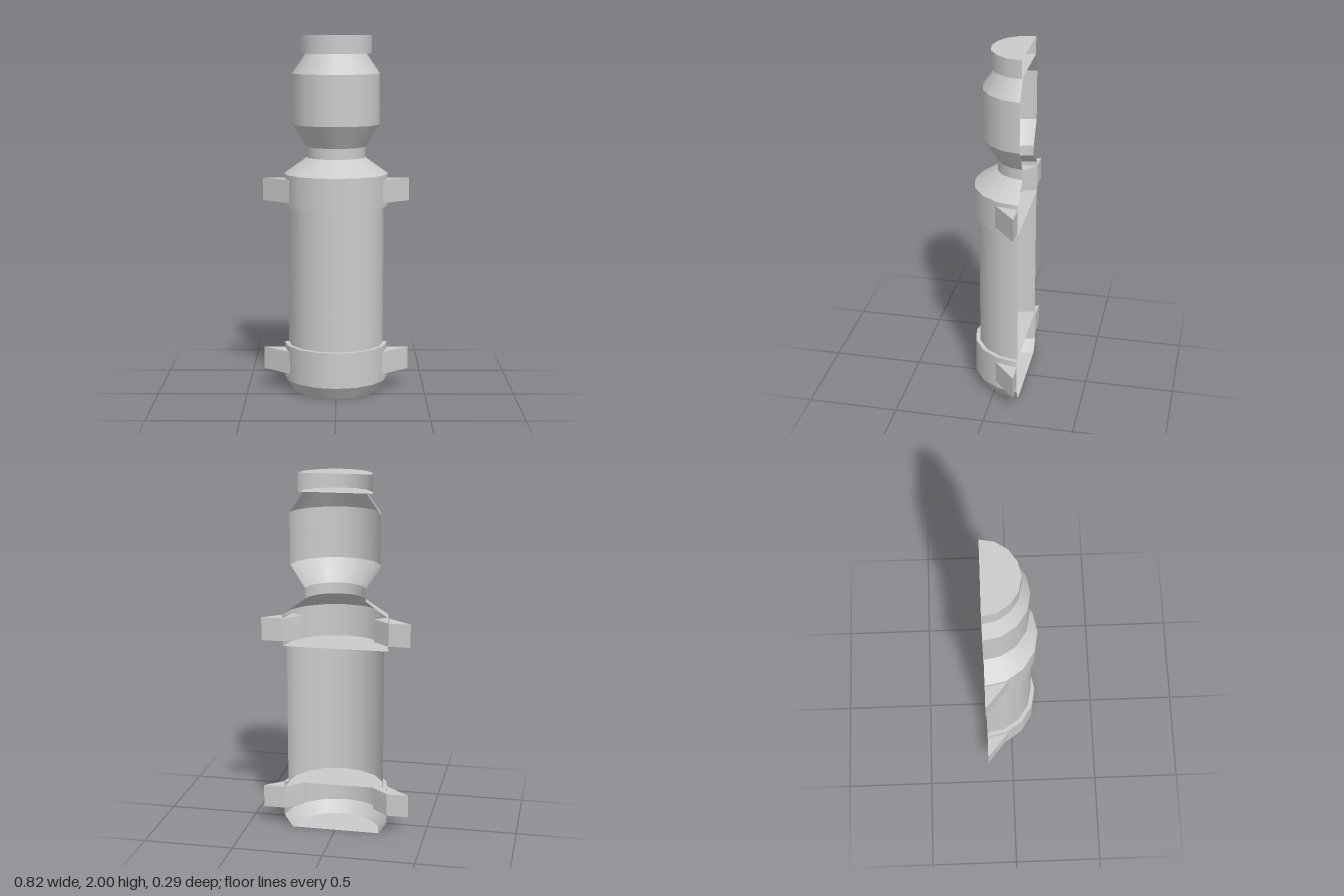
import * as THREE from 'three';
import { mergeGeometries } from 'three/addons/utils/BufferGeometryUtils.js';

const BACK = -0.147; // plane of the open, cut back
const material = new THREE.MeshStandardMaterial({ color: 0xcccccc, side: THREE.DoubleSide });

// Half-round shell: smooth around, hard edge at each profile point [radius, y]
function halfShell(name, profile) {
  const strips = [];
  for (let i = 0; i < profile.length - 1; i++) {
    const pts = [profile[i], profile[i + 1]].map(([r, y]) => new THREE.Vector2(r, y));
    strips.push(new THREE.LatheGeometry(pts, 8, -Math.PI / 2, Math.PI));
  }
  const mesh = new THREE.Mesh(mergeGeometries(strips), material);
  mesh.name = name;
  mesh.position.z = BACK;
  return mesh;
}

// Slanted lug whose back is cut flush with the open side
function lug(name, side, y0, y1) {
  const plan = [[0.41, BACK], [0.26, -0.02], [0.2, -0.07], [0.29, BACK]];
  const shape = new THREE.Shape(plan.map(([x, z]) => new THREE.Vector2(side * x, -z)));
  const geo = new THREE.ExtrudeGeometry(shape, { depth: y1 - y0, bevelEnabled: false });
  geo.rotateX(-Math.PI / 2);
  geo.translate(0, y0, 0);
  const mesh = new THREE.Mesh(geo, material);
  mesh.name = name;
  return mesh;
}

export function createModel() {
  const model = new THREE.Group();
  model.name = 'halfCanister';

  model.add(
    // Lower band with bevelled foot and closed top
    halfShell('lowerBand', [[0, 0], [0.245, 0], [0.292, 0.07], [0.292, 0.27], [0, 0.27]]),
    // Plain tube between the bands
    halfShell('tube', [[0.268, 0.27], [0.268, 1.055]]),
    // Upper band and sloping shoulder
    halfShell('upperBand', [[0, 1.055], [0.292, 1.055], [0.292, 1.235], [0.165, 1.325]]),
    halfShell('neck', [[0.165, 1.325], [0.165, 1.385]]),
    halfShell('head', [[0.165, 1.385], [0.245, 1.51], [0.245, 1.79], [0.17, 1.9]]),
    halfShell('cap', [[0, 1.9], [0.2, 1.9], [0.2, 2], [0, 2]])
  );

  // Mounting lugs on both bands
  for (const [side, word] of [[1, 'left'], [-1, 'right']]) {
    model.add(lug(word + 'LowerLug', side, 0.11, 0.237));
    model.add(lug(word + 'UpperLug', side, 1.082, 1.21));
  }
  return model;
}
